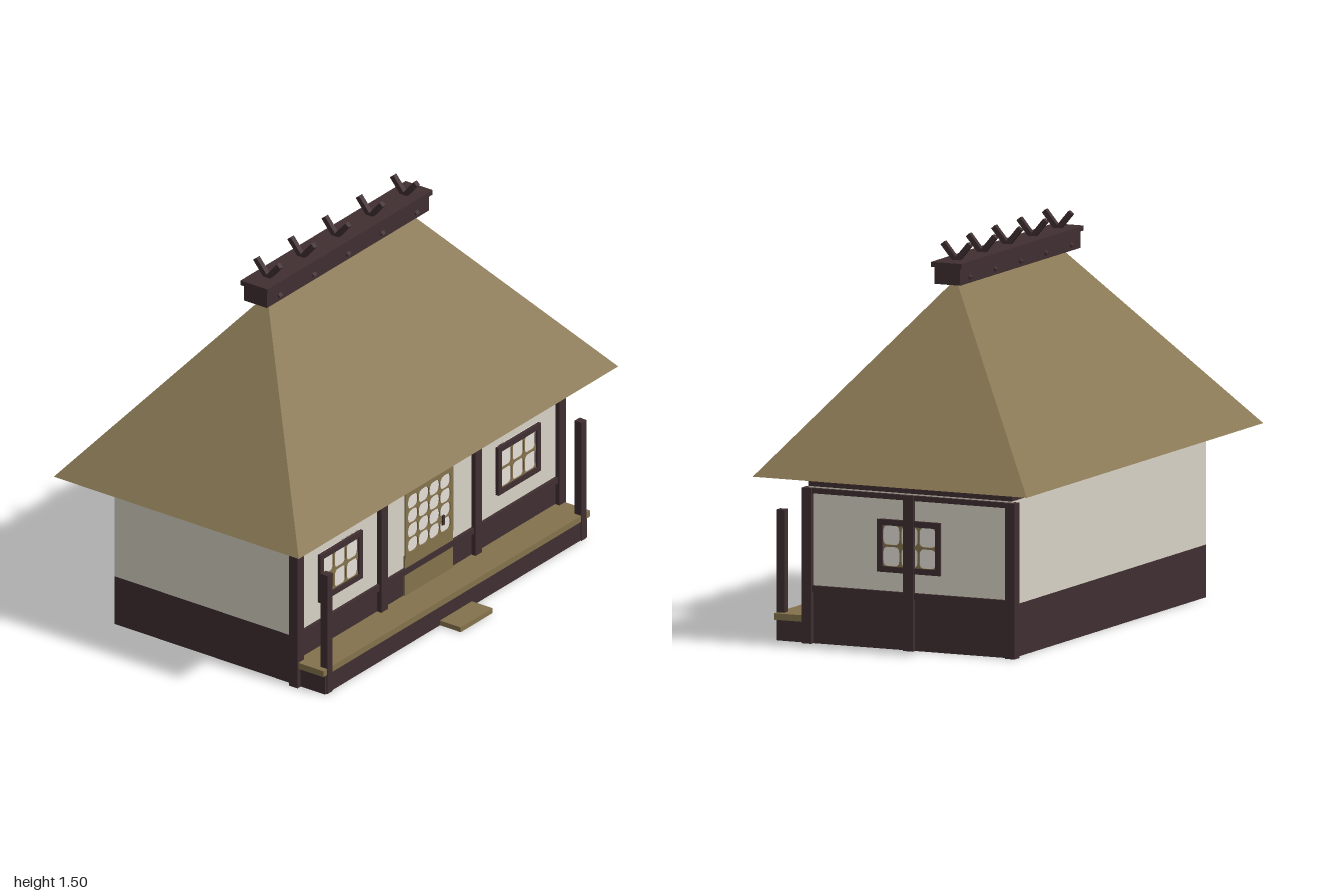
import * as THREE from 'three';

const mat = (name, color) => {
  const m = new THREE.MeshStandardMaterial({ color });
  m.name = name;
  return m;
};

export function createModel() {
  const thatch = mat('thatch', 0x8a7955);
  const wood = mat('light wood', 0x84724c);
  const dark = mat('dark timber', 0x402f31);
  const plaster = mat('plaster', 0xd8d2c5);
  const paper = mat('window paper', 0xe4dfd8);

  const house = new THREE.Group();
  house.name = 'thatchedHouse';

  const add = (name, geometry, material, parent = house) => {
    const mesh = new THREE.Mesh(geometry, material);
    mesh.name = name;
    parent.add(mesh);
    return mesh;
  };
  // Box given by its min and max on each axis
  const box = (name, material, x0, x1, y0, y1, z0, z1, parent = house) => {
    const mesh = add(name, new THREE.BoxGeometry(x1 - x0, y1 - y0, z1 - z0), material, parent);
    mesh.position.set((x0 + x1) / 2, (y0 + y1) / 2, (z0 + z1) / 2);
    return mesh;
  };
  const post = (name, x, z, w, y0, y1) =>
    box(name, dark, x - w / 2, x + w / 2, y0, y1, z - w / 2, z + w / 2);

  // Main body: base, plaster wall and top beam
  const X = 0.82, F = 0.385, B = -0.465, MID = -0.04;
  box('base', dark, -X, X, 0, 0.2, B, F);
  box('wall', plaster, -X, X, 0.2, 0.595, B, F);
  box('topBeam', dark, -X, X, 0.595, 0.645, B, F);

  // Wall posts and rails on the front and the left side
  for (const [x, z] of [[-X, F], [X, F], [X, MID], [X, B]]) post('wallPost', x, z, 0.04, 0, 0.59);
  for (const s of [-1, 1]) post('frontPost', s * 0.295, F, 0.04, 0, 0.59);
  for (const [y0, y1] of [[0.195, 0.22], [0.57, 0.59]]) {
    box('frontRail', dark, -X, X, y0, y1, F - 0.01, F + 0.012);
    box('sideRail', dark, X - 0.01, X + 0.012, y0, y1, B, F);
  }

  // Veranda
  box('verandaBase', dark, -X, X, 0, 0.08, F, 0.518);
  box('verandaDeck', wood, -0.835, 0.835, 0.08, 0.105, F, 0.522);
  for (const s of [-1, 1]) post('verandaPost', s * 0.795, 0.507, 0.032, 0, 0.495);
  box('doorStep', wood, -0.1, 0.1, 0, 0.02, 0.518, 0.615);

  // Lattice plate of w by h, with rounded openings in the given columns and rows
  const rounded = (path, x0, y0, x1, y1, r) => {
    path.moveTo(x0 + r, y0);
    path.lineTo(x1 - r, y0).quadraticCurveTo(x1, y0, x1, y0 + r);
    path.lineTo(x1, y1 - r).quadraticCurveTo(x1, y1, x1 - r, y1);
    path.lineTo(x0 + r, y1).quadraticCurveTo(x0, y1, x0, y1 - r);
    path.lineTo(x0, y0 + r).quadraticCurveTo(x0, y0, x0 + r, y0);
    return path;
  };
  const lattice = (w, h, cols, rows, gap, r, border) => {
    const shape = new THREE.Shape();
    shape.moveTo(-w / 2, -h / 2).lineTo(w / 2, -h / 2).lineTo(w / 2, h / 2).lineTo(-w / 2, h / 2);
    const cw = (w - 2 * border) / cols, ch = (h - 2 * border) / rows;
    for (let i = 0; i < cols; i++) {
      for (let j = 0; j < rows; j++) {
        const x = -w / 2 + border + i * cw, y = -h / 2 + border + j * ch;
        shape.holes.push(rounded(new THREE.Path(),
          x + gap, y + gap, x + cw - gap, y + ch - gap, r));
      }
    }
    return new THREE.ExtrudeGeometry(shape, { depth: 0.005, bevelEnabled: false, curveSegments: 5 });
  };

  // Window: paper, lattice and a dark frame, facing +z
  const makeWindow = (name) => {
    const g = new THREE.Group();
    g.name = name;
    const w = 0.265, h = 0.2, t = 0.022;
    box('windowPaper', paper, -w / 2, w / 2, -h / 2, h / 2, 0, 0.003, g);
    add('windowLattice', lattice(w - t, h - t, 3, 2, 0.004, 0.02, 0.008), wood, g).position.z = 0.004;
    for (const s of [-1, 1]) {
      const x = s * (w - t) / 2, y = s * (h - t) / 2;
      box('windowFrame', dark, x - t / 2, x + t / 2, -h / 2, h / 2, 0, 0.016, g);
      box('windowFrame', dark, -w / 2 + t, w / 2 - t, y - t / 2, y + t / 2, 0, 0.016, g);
    }
    house.add(g);
    return g;
  };
  for (const s of [-1, 1]) makeWindow('frontWindow').position.set(s * 0.557, 0.395, F);
  const side = makeWindow('sideWindow');
  side.position.set(X, 0.393, MID);
  side.rotation.y = Math.PI / 2;

  // Sliding door
  box('doorPanel', wood, -0.15, 0.15, 0.105, 0.27, F, F + 0.008);
  box('doorPaper', paper, -0.145, 0.145, 0.26, 0.525, F, F + 0.003);
  add('doorLattice', lattice(0.3, 0.27, 4, 4, 0.002, 0.026, 0.015), wood).position.set(0, 0.395, F + 0.004);
  box('doorHandle', dark, 0.078, 0.09, 0.31, 0.35, F + 0.008, F + 0.014);

  // Hipped thatch roof: eave rectangle rising to a ridge line
  const E = 0.645, R = 1.355;
  const a = [-1, E, 0.53], b = [1, E, 0.53], c = [1, E, -0.615], d = [-1, E, -0.615];
  const l = [-0.435, R, MID], r = [0.435, R, MID];
  const faces = [[a, b, r], [a, r, l], [c, d, l], [c, l, r], [b, c, r], [d, a, l], [a, d, c], [a, c, b]];
  const roof = new THREE.BufferGeometry();
  roof.setAttribute('position', new THREE.Float32BufferAttribute(faces.flat(2), 3));
  roof.computeVertexNormals();
  add('roof', roof, thatch);

  // Ridge box, cap and crossed poles
  box('ridgeBox', dark, -0.508, 0.508, 1.343, 1.41, MID - 0.054, MID + 0.054);
  box('ridgeCap', dark, -0.517, 0.517, 1.408, 1.427, MID - 0.063, MID + 0.063);
  for (let i = -2; i <= 2; i++) {
    for (const s of [-1, 1]) {
      const pole = add('ridgePole', new THREE.BoxGeometry(0.02, 0.172, 0.02), dark);
      pole.position.set(i * 0.214, 1.423, MID);
      pole.rotation.x = s * 0.7;
    }
  }
  return house;
}
